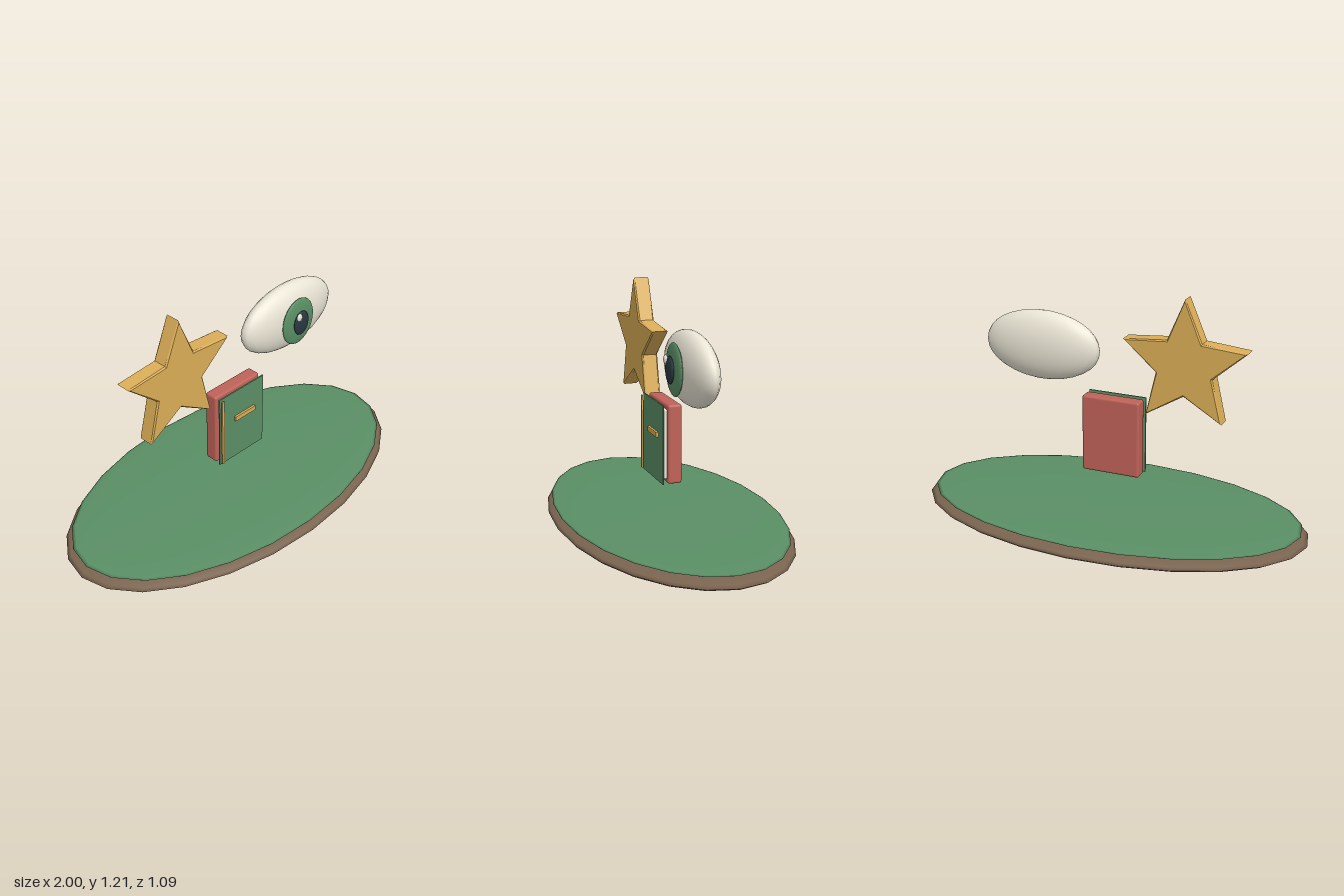
import * as THREE from 'three';
import { RoundedBoxGeometry } from 'three/addons/geometries/RoundedBoxGeometry.js';

const paint = (color) => new THREE.MeshStandardMaterial({ color });
const green = paint(0x5a8f65), brown = paint(0x7a6450), gold = paint(0xdcae58);
const cream = paint(0xeae5d5), red = paint(0xbf6258), dark = paint(0x2a3842);

function add(parent, name, geometry, material, [x, y, z]) {
  const mesh = new THREE.Mesh(geometry, material);
  mesh.name = name;
  mesh.position.set(x, y, z);
  parent.add(mesh);
  return mesh;
}

// Squashed sphere with the given radii
function ellipsoid(parent, name, material, position, radii) {
  add(parent, name, new THREE.SphereGeometry(1, 24, 16), material, position).scale.set(...radii);
}

function group(parent, name) {
  const g = new THREE.Group();
  g.name = name;
  parent.add(g);
  return g;
}

function starGeometry(outer, inner, depth, bevel) {
  const points = [];
  for (let i = 0; i < 10; i++) {
    const a = Math.PI / 2 + (i * Math.PI) / 5, r = i % 2 ? inner : outer;
    points.push(new THREE.Vector2(r * Math.cos(a), r * Math.sin(a)));
  }
  const geometry = new THREE.ExtrudeGeometry(new THREE.Shape(points), {
    depth: depth - 2 * bevel, bevelEnabled: true, bevelSize: bevel,
    bevelThickness: bevel, bevelOffset: -bevel, bevelSegments: 1,
  });
  return geometry.translate(0, 0, bevel - depth / 2);
}

export function createModel() {
  const model = new THREE.Group();
  model.name = 'floatingSymbols';

  // Oval island: earth with a thin layer of grass
  const island = group(model, 'island');
  ellipsoid(island, 'earth', brown, [0, 0.058, 0], [1, 0.058, 0.547]);
  ellipsoid(island, 'grass', green, [0, 0.104, 0], [0.967, 0.017, 0.525]);

  // Book: back block, pages, front cover, spine strip and title bar
  const book = group(model, 'book');
  add(book, 'backCover', new RoundedBoxGeometry(0.3, 0.39, 0.07, 2, 0.012), red, [0, 0.47, 0]);
  add(book, 'pages', new RoundedBoxGeometry(0.26, 0.344, 0.036, 2, 0.008), cream, [0, 0.468, 0.033]);
  add(book, 'frontCover', new THREE.BoxGeometry(0.3, 0.39, 0.007), green, [0, 0.47, 0.059]);
  add(book, 'spineStrip', new THREE.BoxGeometry(0.014, 0.372, 0.008), gold, [-0.138, 0.47, 0.073]);
  add(book, 'titleBar', new THREE.BoxGeometry(0.136, 0.024, 0.012), gold, [0.017, 0.508, 0.068]);

  // Five-pointed star
  add(model, 'star', starGeometry(0.324, 0.148, 0.08, 0.007), gold, [-0.376, 0.881, 0]);

  // Eye
  const eye = group(model, 'eye');
  ellipsoid(eye, 'eyeball', cream, [0.372, 0.886, 0], [0.305, 0.174, 0.084]);
  ellipsoid(eye, 'iris', green, [0.37, 0.885, 0.082], [0.108, 0.125, 0.019]);
  ellipsoid(eye, 'pupil', dark, [0.37, 0.885, 0.104], [0.05, 0.065, 0.014]);
  ellipsoid(eye, 'highlight', cream, [0.344, 0.93, 0.115], [0.017, 0.021, 0.01]);

  return model;
}
